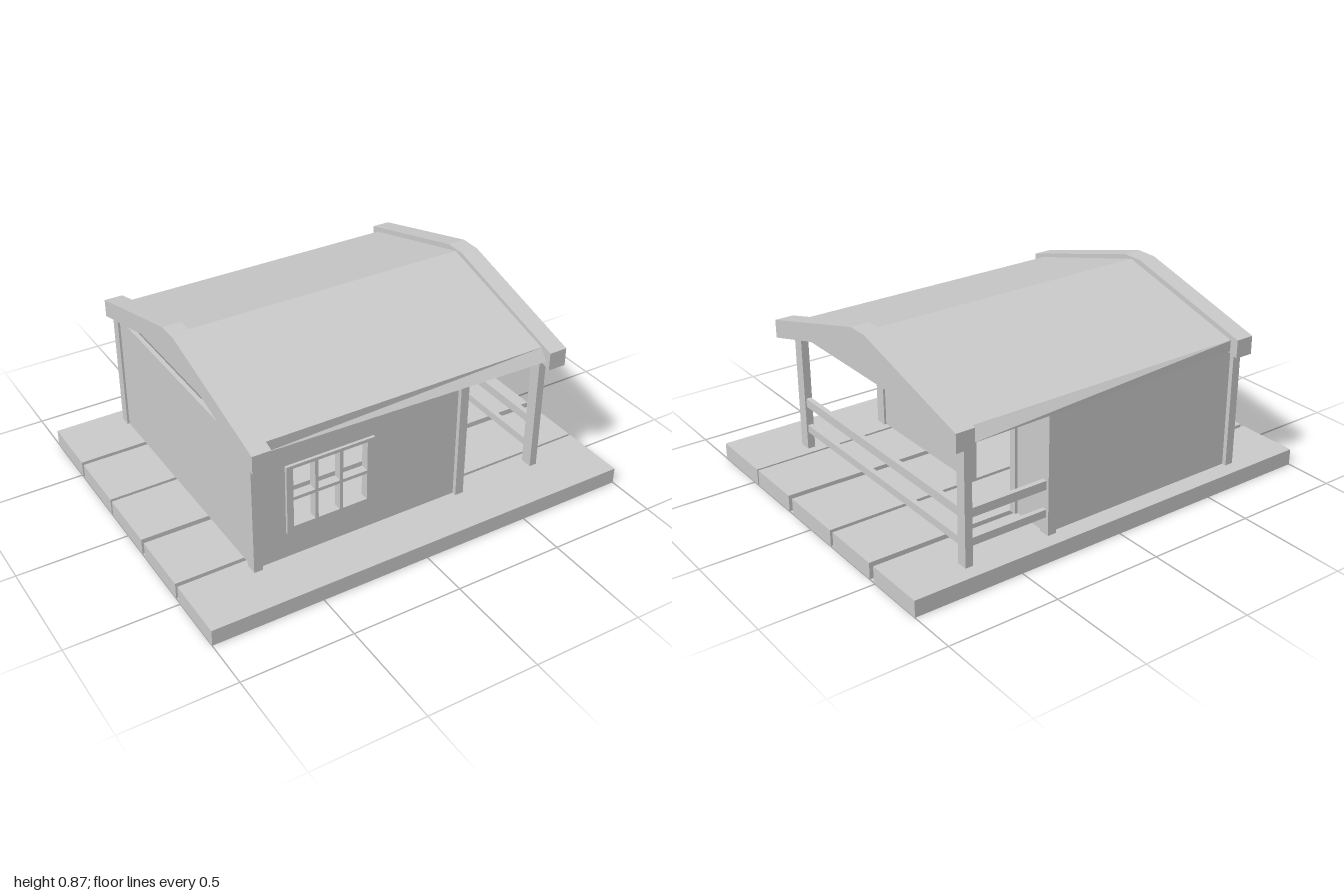
import * as THREE from 'three';

const mat = new THREE.MeshStandardMaterial({ color: 0xcccccc, flatShading: true });

export function createModel() {
  const model = new THREE.Group();
  const add = (name, geo) => {
    const mesh = new THREE.Mesh(geo, mat);
    mesh.name = name;
    model.add(mesh);
    return mesh;
  };
  // Box given by its limits on each axis
  const box = (name, x0, x1, y0, y1, z0, z1) =>
    add(name, new THREE.BoxGeometry(x1 - x0, y1 - y0, z1 - z0)
      .translate((x0 + x1) / 2, (y0 + y1) / 2, (z0 + z1) / 2));
  const outline = (pts, Kind = THREE.Shape) => new Kind(pts.map(([a, b]) => new THREE.Vector2(a, b)));
  const rect = (a0, a1, b0, b1) => [[a0, b0], [a1, b0], [a1, b1], [a0, b1]];
  const extrude = (pts, depth, holes = []) => {
    const shape = outline(pts);
    shape.holes = holes.map(h => outline(h, THREE.Path));
    return new THREE.ExtrudeGeometry(shape, { depth, bevelEnabled: false });
  };
  // Profile in (z, y), extruded along x
  const along = (pts, x0, x1, holes = []) => {
    const flip = list => list.map(([z, y]) => [-z, y]);
    return extrude(flip(pts), x1 - x0, holes.map(flip)).rotateY(Math.PI / 2).translate(x0, 0, 0);
  };

  const floor = 0.075, top = 0.635;

  // Slightly uneven deck planks: back and front edge at the right end, then at the left end
  [[-0.78, -0.49, -0.78, -0.49], [-0.47, -0.175, -0.46, -0.18], [-0.16, 0.14, -0.16, 0.155],
    [0.165, 0.46, 0.185, 0.46], [0.48, 0.775, 0.47, 0.775]].forEach(([a, b, c, d]) =>
    add('deckPlank', extrude([[-1, -b], [1, -d], [1, -c], [-1, -a]], floor).rotateX(-Math.PI / 2)));

  // Posts at the house corners and the porch corners
  for (const [x0, x1] of [[-0.7, -0.66], [0.285, 0.325], [0.69, 0.725]])
    for (const [z0, z1] of [[0.51, 0.565], [-0.715, -0.665]])
      box('post', x0, x1, floor, top, z0, z1);

  // Walls
  box('backWall', -0.69, 0.3, floor, top, -0.695, -0.675);
  box('endWall', -0.69, -0.67, floor, top, -0.68, 0.53);
  add('frontWall', extrude(rect(-0.69, 0.3, floor, top), 0.02, [rect(-0.52, -0.15, 0.22, 0.52)])
    .translate(0, 0, 0.525));
  add('porchWall', along([[0.53, floor], [0.53, top], [-0.68, top], [-0.68, floor],
    [-0.47, floor], [-0.47, 0.505], [-0.17, 0.505], [-0.17, floor]], 0.295, 0.315));

  // Window frame with six panes left open
  const panes = [];
  for (const [x0, x1] of [[-0.51, -0.41], [-0.395, -0.295], [-0.28, -0.165]])
    for (const [y0, y1] of [[0.23, 0.36], [0.375, 0.515]])
      panes.push(rect(x0, x1, y0, y1));
  add('windowFrame', extrude(rect(-0.54, -0.13, 0.2, 0.53), 0.04, panes).translate(0, 0, 0.518));

  // Door frame, open at the bottom
  add('doorFrame', along([[-0.135, floor], [-0.135, 0.53], [-0.5, 0.53], [-0.5, floor],
    [-0.465, floor], [-0.465, 0.505], [-0.17, 0.505], [-0.17, floor]], 0.285, 0.328));

  // Porch rails on the end and the back
  for (const [y0, y1] of [[0.155, 0.19], [0.28, 0.32]]) {
    box('endRail', 0.695, 0.718, y0, y1, -0.67, 0.515);
    box('backRail', 0.32, 0.695, y0, y1, -0.702, -0.68);
  }

  // Solid roof, its lower eave edge flaring a little toward the porch
  const roof = along([[0.55, 0.63], [0.55, 0.68], [-0.085, 0.855], [-0.72, 0.68], [-0.72, 0.63]], -0.66, 0.73);
  const p = roof.attributes.position;
  for (let i = 0; i < p.count; i++)
    if (p.getY(i) < 0.65 && p.getX(i) > 0) p.setZ(i, p.getZ(i) + Math.sign(p.getZ(i)) * 0.04);
  roof.computeVertexNormals();
  add('roof', roof);

  // Thick gable boards at both ends
  for (const [x0, x1] of [[-0.715, -0.63], [0.705, 0.79]])
    add('gableBoard', along([[0.61, 0.597], [0.61, 0.68], [-0.04, 0.865], [-0.14, 0.865],
      [-0.76, 0.692], [-0.76, 0.61], [-0.13, 0.78], [-0.045, 0.78]], x0, x1));

  return model;
}
